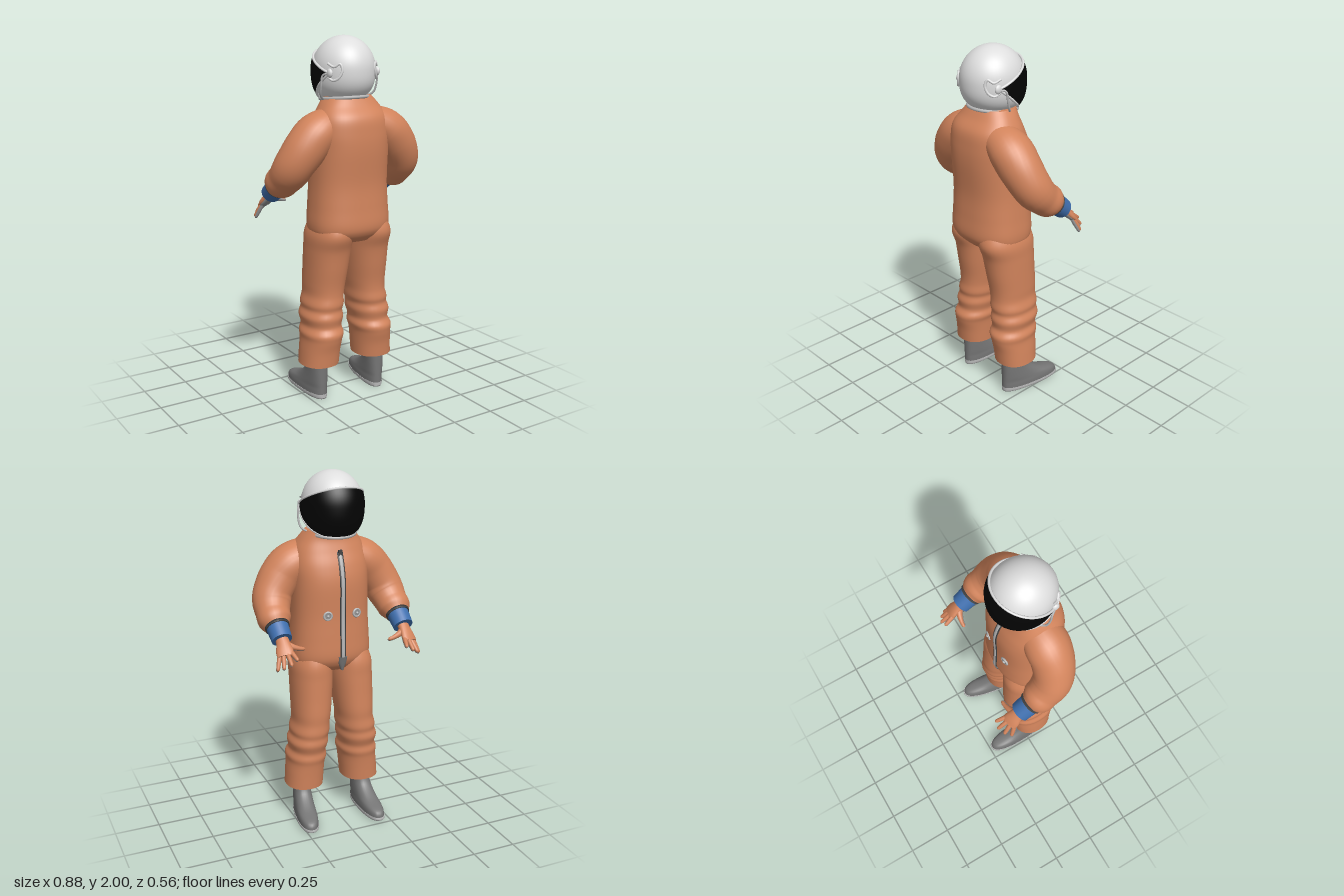
import * as THREE from 'three';
import { mergeVertices } from 'three/addons/utils/BufferGeometryUtils.js';

const V = (x, y, z) => new THREE.Vector3(x, y, z);
const mat = (name, color, side = THREE.FrontSide) => {
  const m = new THREE.MeshStandardMaterial({ color, side });
  m.name = name;
  return m;
};

// Skin through elliptical sections [x, y, z, halfWidth, halfDepth].
// level: keep every section horizontal (list them upwards); power < 1 squares the outline.
function loft(sections, { steps = 32, sides = 28, ref = V(1, 0, 0), level = false, power = 1 } = {}) {
  const path = new THREE.CatmullRomCurve3(sections.map(s => V(s[0], s[1], s[2])), false, 'catmullrom');
  const size = new THREE.CatmullRomCurve3(sections.map(s => V(s[3], s[4], 0)), false, 'catmullrom');
  const pos = [], index = [];
  const bend = c => Math.sign(c) * Math.abs(c) ** power;
  const ring = u => {
    const c = path.getPoint(u), r = size.getPoint(u);
    const t = level ? V(0, 1, 0) : path.getTangent(u);
    const a = ref.clone().addScaledVector(t, -t.dot(ref)).normalize();
    const b = t.clone().cross(a);
    for (let j = 0; j < sides; j++) {
      const k = j / sides * Math.PI * 2;
      const p = c.clone().addScaledVector(a, r.x * bend(Math.cos(k))).addScaledVector(b, r.y * bend(Math.sin(k)));
      pos.push(p.x, p.y, p.z);
    }
    return c;
  };
  for (let i = 0; i <= steps; i++) ring(i / steps);
  for (let i = 0; i < steps; i++) for (let j = 0; j < sides; j++) {
    const a = i * sides + j, b = i * sides + (j + 1) % sides;
    index.push(a, b, b + sides, a, b + sides, a + sides);
  }
  for (const end of [0, 1]) {                       // flat end caps
    const start = pos.length / 3, c = ring(end), mid = pos.length / 3;
    pos.push(c.x, c.y, c.z);
    for (let j = 0; j < sides; j++) {
      const a = start + j, b = start + (j + 1) % sides;
      end ? index.push(a, b, mid) : index.push(b, a, mid);
    }
  }
  const g = new THREE.BufferGeometry();
  g.setAttribute('position', new THREE.Float32BufferAttribute(pos, 3));
  g.setIndex(index);
  g.computeVertexNormals();
  return g;
}

const wire = (pts, r, n = 40) => new THREE.TubeGeometry(new THREE.CatmullRomCurve3(pts), n, r, 6);

// Helmet surface: round above, fuller and tilted below; v lies on the unit sphere
function helmetPoint(v, grow = 1) {
  const low = Math.max(0, -v.y);
  const f = low > 0 && low < 0.999 ? (1 - low ** 2.7) ** (1 / 2.7) / Math.sqrt(1 - low * low) : 1;
  const z = 0.178 * grow * v.z * f;
  return V(-0.012 + 0.165 * grow * v.x * f, 1.825 + 0.175 * grow * v.y + 0.1 * z * low, 0.065 + z);
}

// Slice of the unit sphere by a plane through the visor hinge line, s from -1 to 1
const HINGE = V(0, -0.08, 0.51);
function visorPoint(angle, s, grow) {
  const d = V(0, Math.sin(angle), -Math.cos(angle));
  const along = HINGE.dot(d), c = HINGE.clone().addScaledVector(d, -along);
  const r = Math.sqrt(1 - c.lengthSq()), t = s * Math.acos(along / r);
  return helmetPoint(c.addScaledVector(d, r * Math.cos(t)).add(V(r * Math.sin(t), 0, 0)), grow);
}

export function createModel() {
  const model = new THREE.Group();
  model.name = 'spacesuitFigure';
  const orange = mat('suit orange', 0xd2845c), white = mat('helmet white', 0xdedede);
  const black = mat('visor black', 0x040404, THREE.DoubleSide), blue = mat('cuff blue', 0x3f6fae);
  const gray = mat('boot gray', 0x757575), light = mat('trim light gray', 0xb8b8b8);
  const dark = mat('seam dark gray', 0x444444), palmGray = mat('palm gray', 0x929292);
  const add = (name, geometry, material, parent = model) => {
    const m = new THREE.Mesh(geometry, material);
    m.name = name;
    parent.add(m);
    return m;
  };

  // Torso
  const torso = [
    [0, 0.91, 0.085, 0.16, 0.13], [0, 0.95, 0.088, 0.215, 0.165], [0, 1.0, 0.088, 0.228, 0.181],
    [0, 1.1, 0.086, 0.222, 0.178], [0, 1.23, 0.086, 0.215, 0.174], [0, 1.4, 0.092, 0.214, 0.182],
    [0, 1.5, 0.1, 0.215, 0.173], [0, 1.58, 0.108, 0.2, 0.152], [0, 1.64, 0.095, 0.165, 0.12],
    [0, 1.685, 0.08, 0.13, 0.105]];
  add('torso', loft(torso, { steps: 54, sides: 48, level: true, power: 0.82 }), orange);

  // Front zip with its dark backing, pull and lower flap
  const zip = (w, d) => loft(torso.slice(1, 8).map(s => [-0.008, s[1], s[2] - s[4] - 0.001, w, d]), { steps: 40, sides: 12 });
  add('zipBacking', zip(0.017, 0.004), dark);
  add('zip', zip(0.011, 0.007), light);
  add('zipPull', new THREE.BoxGeometry(0.022, 0.04, 0.012), dark).position.set(-0.008, 1.57, -0.052);
  add('zipFlap', loft([[-0.008, 0.92, -0.075, 0.008, 0.012], [-0.008, 0.96, -0.083, 0.022, 0.012],
    [-0.008, 1.0, -0.093, 0.026, 0.009]], { steps: 8, sides: 14 }), gray);

  // Chest ports
  for (const s of [-1, 1]) {
    const port = new THREE.Group();
    port.name = 'chestPort';
    port.position.set(s * 0.085 - 0.008, 1.24, -0.083);
    port.rotation.y = -s * 0.18;
    add('portRing', new THREE.TorusGeometry(0.021, 0.006, 8, 24), light, port);
    add('portPlate', new THREE.CylinderGeometry(0.019, 0.019, 0.008, 20).rotateX(Math.PI / 2), palmGray, port);
    add('portKnob', new THREE.SphereGeometry(0.008, 10, 8), light, port).position.z = -0.005;
    model.add(port);
  }

  // Arms and gloves, mirrored, one held a little further forward
  for (const s of [-1, 1]) {
    const arm = new THREE.Group();
    arm.name = s > 0 ? 'leftArm' : 'rightArm';
    arm.position.z = s * 0.02;
    model.add(arm);
    const part = (name, list, material, opt) =>
      add(name, loft(list.map(([x, ...rest]) => [s * x, ...rest]), opt), material, arm);
    part('sleeve', [
      [0.1, 1.55, 0.115, 0.09, 0.1], [0.2, 1.5, 0.12, 0.11, 0.12], [0.265, 1.43, 0.118, 0.115, 0.115],
      [0.315, 1.355, 0.1, 0.108, 0.108], [0.335, 1.3, 0.07, 0.105, 0.102], [0.345, 1.255, 0.025, 0.094, 0.092],
      [0.35, 1.225, -0.015, 0.09, 0.088], [0.35, 1.202, -0.045, 0.07, 0.07]], orange, { steps: 42 });
    part('cuffSeam', [[0.35, 1.21, -0.042, 0.068, 0.068], [0.35, 1.197, -0.06, 0.066, 0.066]], dark, { steps: 2 });
    part('cuff', [[0.35, 1.205, -0.05, 0.061, 0.061], [0.35, 1.15, -0.122, 0.056, 0.054]], blue, { steps: 6 });
    // Back of the hand in suit colour, a slightly shifted copy makes the gray palm
    const ref = V(1, -s * 0.45, 0);
    for (const [name, material, dy, dz, k] of [['glove', orange, 0, 0, 1], ['glovePalm', palmGray, -0.006, 0.006, 0.88]]) {
      const digit = (label, list, opt) =>
        part(label, list.map(([x, y, z, a, b]) => [x, y + dy, z + dz, a * k, b * k]), material, opt);
      digit(name, [[0.35, 1.162, -0.105, 0.034, 0.03], [0.351, 1.135, -0.14, 0.037, 0.025],
        [0.355, 1.105, -0.172, 0.046, 0.021], [0.358, 1.083, -0.195, 0.045, 0.015]], { steps: 12, sides: 18, ref });
      for (const [x0, y0, z0, x1, y1, z1] of [
        [0.325, 1.1, -0.19, 0.31, 1.07, -0.25], [0.346, 1.092, -0.195, 0.346, 1.048, -0.258],
        [0.368, 1.08, -0.192, 0.383, 1.027, -0.238], [0.388, 1.07, -0.18, 0.408, 1.01, -0.207]]) {
        const at = (t, r) => [x0 + (x1 - x0) * t, y0 + (y1 - y0) * t, z0 + (z1 - z0) * t, r, r];
        digit(name + 'Finger', [at(-0.25, 0.012), at(0.2, 0.0125), at(0.65, 0.011), at(0.92, 0.009), at(1.02, 0.002)],
          { steps: 12, sides: 10 });
      }
      digit(name + 'Thumb', [[0.34, 1.135, -0.135, 0.02, 0.02], [0.31, 1.118, -0.155, 0.017, 0.017],
        [0.27, 1.105, -0.165, 0.0115, 0.0115], [0.245, 1.1, -0.166, 0.009, 0.009], [0.236, 1.1, -0.166, 0.002, 0.002]],
        { steps: 12, sides: 10, ref: V(0, 1, 0) });
    }
  }

  // Trouser legs with knee folds, and boots
  const leg = [
    [0.172, 0.2, 0.06, 0.108, 0.118], [0.166, 0.28, 0.062, 0.107, 0.126], [0.16, 0.345, 0.066, 0.106, 0.137],
    [0.156, 0.385, 0.064, 0.112, 0.143], [0.152, 0.425, 0.055, 0.101, 0.132], [0.15, 0.475, 0.05, 0.111, 0.143],
    [0.144, 0.515, 0.046, 0.103, 0.137], [0.14, 0.55, 0.046, 0.108, 0.142], [0.133, 0.6, 0.045, 0.102, 0.138],
    [0.129, 0.66, 0.046, 0.106, 0.141], [0.124, 0.75, 0.056, 0.111, 0.147], [0.119, 0.86, 0.068, 0.115, 0.155],
    [0.117, 0.95, 0.085, 0.113, 0.168], [0.105, 1.04, 0.088, 0.09, 0.14]];
  // Boot outline per height: [y, toe z, half width], heel fixed
  const boot = [[0.018, -0.215, 0.058], [0.045, -0.21, 0.058], [0.065, -0.185, 0.056], [0.09, -0.105, 0.054],
    [0.13, -0.035, 0.051], [0.17, 0, 0.049], [0.24, 0.02, 0.048]];
  const heel = 0.155;
  const bootSections = list => list.map(([y, toe, w]) => [0, y, (heel + toe) / 2, w, (heel - toe) / 2]);
  for (const s of [-1, 1]) {
    const name = s > 0 ? 'left' : 'right';
    const trouser = loft(leg.map(([x, ...rest]) => [s * x, ...rest]), { steps: 78, sides: 32, level: true, power: 0.9 });
    add(name + 'TrouserLeg', trouser, orange).position.z = s * 0.006;
    const foot = new THREE.Group();
    foot.name = name + 'Boot';
    foot.position.set(s > 0 ? 0.192 : -0.185, 0, s > 0 ? 0.006 : -0.022);
    foot.rotation.y = s > 0 ? -0.17 : 0;
    model.add(foot);
    const opt = { steps: 24, sides: 32, level: true, power: 0.82 };
    add('bootUpper', loft(bootSections(boot), opt), gray, foot);
    add('bootSole', loft(bootSections([[0.005, -0.21, 0.056], [0.014, -0.22, 0.06], [0.026, -0.219, 0.06]]),
      { ...opt, steps: 6 }), light, foot);
    add('soleTread', loft(bootSections([[0, -0.195, 0.05], [0.006, -0.2, 0.051]]), { ...opt, steps: 2 }), gray, foot);
  }

  // Helmet shell
  let shell = new THREE.SphereGeometry(1, 48, 32, 0, Math.PI * 2, 0, 2.75);
  shell.deleteAttribute('uv');
  shell.deleteAttribute('normal');
  shell = mergeVertices(shell);
  const p = shell.attributes.position;
  for (let i = 0; i < p.count; i++) p.setXYZ(i, ...helmetPoint(V().fromBufferAttribute(p, i)).toArray());
  shell.computeVertexNormals();
  add('helmetShell', shell, white);

  // Visor fanned about its hinge, with rims along the edges
  const top = 0.445, bottom = -0.69, rows = 20, cols = 44;
  const pos = [], index = [];
  for (let i = 0; i <= rows; i++) for (let j = 0; j <= cols; j++)
    pos.push(...visorPoint(bottom + (top - bottom) * i / rows, j / cols * 2 - 1, 1.045).toArray());
  for (let i = 0; i < rows; i++) for (let j = 0; j < cols; j++) {
    const a = i * (cols + 1) + j, b = a + cols + 1;
    index.push(a, b, a + 1, a + 1, b, b + 1);
  }
  const visor = new THREE.BufferGeometry();
  visor.setAttribute('position', new THREE.Float32BufferAttribute(pos, 3));
  visor.setIndex(index);
  visor.computeVertexNormals();
  add('visor', visor, black);
  for (const angle of [top, bottom]) {
    const edge = Array.from({ length: 25 }, (_, i) => visorPoint(angle, i / 12 - 1, 1.035));
    add('visorRim', wire(edge, 0.007, 60), white);
  }

  // Neck ring
  const ring = add('neckRing', new THREE.TorusGeometry(0.127, 0.009, 8, 40).rotateX(Math.PI / 2), light);
  ring.position.set(-0.01, 1.672, 0.066);
  ring.rotation.x = -0.1;
  ring.scale.z = 1.05;

  // Visor hinges, latches and side hoses
  for (const s of [-1, 1]) {
    const at = (x, y, z) => V(-0.012 + s * x, y, z);
    const hinge = add('visorHinge', new THREE.SphereGeometry(0.022, 16, 12), white);
    hinge.position.copy(at(0.147, 1.812, 0.16));
    hinge.scale.set(0.6, 1.1, 1);
    add('hingeLatch', wire([at(0.15, 1.862, 0.145), at(0.132, 1.845, 0.178), at(0.108, 1.86, 0.198), at(0.1, 1.83, 0.208),
      at(0.115, 1.79, 0.199), at(0.135, 1.775, 0.175), at(0.15, 1.79, 0.15)], 0.007), white);
    add('sideHose', wire([at(0.15, 1.81, 0.16), at(0.17, 1.8, 0.13), at(0.174, 1.74, 0.118), at(0.165, 1.695, 0.1),
      at(0.135, 1.675, 0.07)], 0.006), light);
  }
  return model;
}
